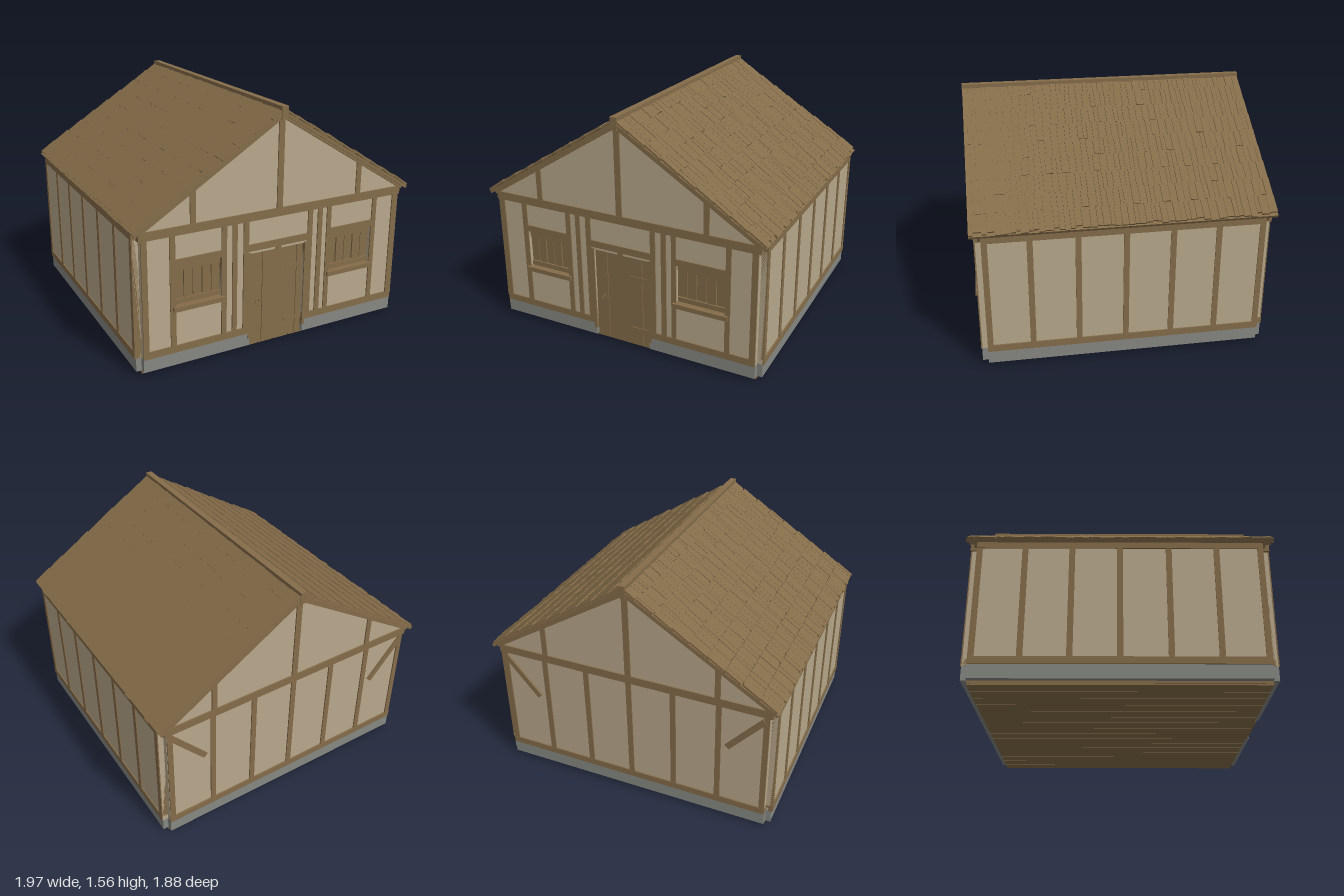
import * as THREE from 'three';
import { mergeGeometries } from 'three/addons/utils/BufferGeometryUtils.js';

const mat = (name, color) => {
  const m = new THREE.MeshStandardMaterial({ color });
  m.name = name;
  return m;
};

// Box geometry from its limits (in any order)
function box(x0, x1, y0, y1, z0, z1) {
  const g = new THREE.BoxGeometry(Math.abs(x1 - x0), Math.abs(y1 - y0), Math.abs(z1 - z0));
  return g.translate((x0 + x1) / 2, (y0 + y1) / 2, (z0 + z1) / 2);
}

export function createModel() {
  const house = new THREE.Group();
  house.name = 'house';
  const wood = mat('timber brown', 0x846c49);
  const plaster = mat('plaster beige', 0xb8a88c);
  const stone = mat('foundation grey', 0x868882);

  const add = (name, material, geos, parent = house) => {
    const mesh = new THREE.Mesh(Array.isArray(geos) ? mergeGeometries(geos) : geos, material);
    mesh.name = name;
    parent.add(mesh);
    return mesh;
  };
  let seed = 7;
  const rnd = () => (seed = (seed * 16807) % 2147483647) / 2147483647;

  const W = 0.92, D = 0.87;            // inner half sizes; walls stand outside, corners notched
  const SLOPE = 0.62, ANGLE = Math.atan(SLOPE), APEX = 1.545;
  const FACE = 0.912, PL = 0.904;      // timber and plaster faces of the gable walls

  // Floor planks
  const planks = [];
  const n = 16, pw = (2 * W) / n;
  for (let i = 0; i < n; i++) {
    const x = -W + i * pw;
    planks.push(box(x + 0.003, x + pw - 0.003, 0, 0.028, -D, D));
  }
  planks.push(box(-W, W, 0.008, 0.03, -D, D));
  add('floorPlanks', wood, planks);

  // Foundation, open at the doorway
  add('foundation', stone, [
    box(W - 0.04, 0.955, 0.025, 0.115, -D, D),
    box(-W + 0.04, -0.955, 0.025, 0.115, -D, D),
    box(-W, W, 0.025, 0.115, -D + 0.04, -0.907),
    box(-W, -0.2, 0.025, 0.115, D - 0.04, 0.907),
    box(0.2, W, 0.025, 0.115, D - 0.04, 0.907),
  ]);

  // Gable walls: plaster outlines with openings
  const top = 1.5;
  const outline = (points) => new THREE.Shape(points.map(([x, y]) => new THREE.Vector2(x, y)));
  const gable = [[W, 0.115], [W, top - SLOPE * W], [0, top], [-W, top - SLOPE * W], [-W, 0.115]];
  const frontShape = outline([...gable, [-0.195, 0.115], [-0.195, 0.652], [0.195, 0.652], [0.195, 0.115]]);
  for (const s of [-1, 1]) {
    const a = s < 0 ? -0.706 : 0.39, b = s < 0 ? -0.4 : 0.717;
    frontShape.holes.push(outline([[a, 0.41], [a, 0.68], [b, 0.68], [b, 0.41]]));
  }
  const extrude = (shape) => new THREE.ExtrudeGeometry(shape, { depth: PL - D, bevelEnabled: false });
  add('frontWall', plaster, extrude(frontShape).translate(0, 0, D));
  add('backWall', plaster, extrude(outline(gable)).translate(0, 0, -PL));

  // Side walls with seven posts each
  for (const s of [-1, 1]) {
    add('sideWall', plaster, box(s * W, s * 0.955, 0.115, 0.915, -D, D));
    const t = [
      box(s * W, s * 0.963, 0.112, 0.157, -D, D),
      box(s * W, s * 0.963, 0.87, 0.915, -D, D),
    ];
    for (const z of [-0.852, -0.575, -0.29, 0, 0.295, 0.585, 0.852]) {
      t.push(box(s * W, s * 0.962, 0.15, 0.88, z - 0.018, z + 0.018));
    }
    add('sideTimbers', wood, t);
  }

  // Gable timbers shared by front and back
  for (const s of [-1, 1]) {
    const z0 = s * D, z1 = s * FACE;
    const t = [box(-0.935, 0.935, 0.868, 0.922, z0, z1 + s * 0.001), box(-0.02, 0.02, 0.92, 1.5, z0, z1)];
    for (const x of [-0.59, 0.59]) t.push(box(x - 0.018, x + 0.018, 0.92, 1.145, z0, z1));
    add('gableTimbers', wood, t);
  }

  // Front frame: posts, sills and headers
  const front = [];
  const beam = (x0, x1, y0, y1, z = FACE) => front.push(box(x0, x1, y0, y1, D, z));
  for (const [x0, x1] of [[-0.92, -0.883], [-0.742, -0.706], [-0.4, -0.366], [-0.326, -0.294],
    [0.288, 0.322], [0.358, 0.39], [0.717, 0.75], [0.88, 0.918]]) beam(x0, x1, 0.15, 0.88);
  beam(-0.25, -0.214, 0.115, 0.88);
  beam(0.214, 0.248, 0.115, 0.88);
  beam(-0.214, -0.195, 0.075, 0.66);
  beam(0.195, 0.214, 0.075, 0.66);
  beam(-W, -0.195, 0.112, 0.157, FACE + 0.001);
  beam(0.195, W, 0.112, 0.157, FACE + 0.001);
  beam(-0.214, 0.214, 0.67, 0.715);
  beam(-0.018, 0.018, 0.652, 0.67);
  add('frontTimbers', wood, front);

  // Shuttered windows
  for (const s of [-1, 1]) {
    const a = s < 0 ? -0.706 : 0.39, b = s < 0 ? -0.4 : 0.717;
    const g = new THREE.Group();
    g.name = 'window';
    house.add(g);
    add('windowFrame', wood, [
      box(a, b, 0.675, 0.718, D, FACE),
      box(a - 0.02, b + 0.02, 0.387, 0.417, D, 0.928),
    ], g);
    const boards = [box(a, b, 0.41, 0.68, D, 0.876)];
    const w = (b - a) / 5;
    for (let i = 0; i < 5; i++) {
      boards.push(box(a + i * w + 0.003, a + (i + 1) * w - 0.003, 0.418, 0.675, D, 0.885 + (i % 2) * 0.003));
    }
    for (const y of [0.44, 0.655]) boards.push(box(a + 0.006, b - 0.006, y - 0.016, y + 0.016, D, 0.897));
    add('shutterBoards', wood, boards, g);
  }

  // Door with hinges and a ring handle
  const door = new THREE.Group();
  door.name = 'door';
  house.add(door);
  const doorBoards = [box(-0.195, 0.195, 0.02, 0.65, D - 0.02, 0.885)];
  for (const [x0, x1] of [[-0.193, -0.108], [-0.104, 0.144], [0.148, 0.19]]) {
    doorBoards.push(box(x0, x1, 0.022, 0.65, D, 0.895));
  }
  add('doorBoards', wood, doorBoards, door);
  add('hinges', wood, [0.14, 0.51].map((y) => box(0.06, 0.19, y - 0.01, y + 0.01, 0.89, 0.9)), door);
  const ring = new THREE.TorusGeometry(0.014, 0.004, 6, 16).translate(-0.14, 0.32, 0.9);
  add('handle', wood, ring, door);

  // Back frame with corner braces
  const back = [box(-W, W, 0.112, 0.157, -D, -FACE - 0.001)];
  for (let i = -3; i <= 3; i++) {
    const x = i * 0.3;
    back.push(box(x - 0.018, x + 0.018, 0.15, 0.88, -D, -FACE));
  }
  add('backTimbers', wood, back);
  for (const s of [-1, 1]) {
    const brace = add('cornerBrace', wood, new THREE.BoxGeometry(0.036, 0.35, 0.03));
    brace.position.set(s * 0.775, 0.71, -0.903);
    brace.rotation.z = -s * 0.72;
  }

  // Roof slopes: sheathing, rafters and uneven shingle rows, laid out along the slope
  const L = 0.985 / Math.cos(ANGLE), ROWS = 9, step = L / ROWS, R = 0.938;
  for (const s of [-1, 1]) {
    const roof = new THREE.Group();
    roof.name = 'roofSlope';
    roof.position.y = APEX;
    roof.rotation.z = -s * ANGLE;
    house.add(roof);
    add('sheathing', wood, box(0, s * (L - 0.005), -0.033, -0.013, -R, R), roof);

    const rafters = [];
    for (let i = -4; i <= 4; i++) {
      const z = i * 0.2165;
      rafters.push(box(s * 0.03, s * (L - 0.008), -0.068, -0.03, z - 0.021, z + 0.021));
    }
    for (const e of [-1, 1]) rafters.push(box(0, s * (L - 0.03), -0.05, -0.03, e * 0.87, e * 0.925));
    add('rafters', wood, rafters, roof);

    const shingles = [];
    for (let r = 0; r < ROWS; r++) {
      for (let z = -R; z < R - 0.001;) {
        let z1 = z + 0.024 + rnd() * 0.03;
        if (z1 > R - 0.02) z1 = R;
        const end = (r + 1) * step - rnd() * 0.03;
        const len = end - r * step + (r ? 0.02 : 0);
        const g = box(-len, 0, -0.013, rnd() * 0.004 - 0.002, z + 0.001, z1 - 0.001);
        g.rotateZ(-0.05);
        if (s < 0) g.rotateY(Math.PI);
        shingles.push(g.translate(s * end, 0, 0));
        z = z1;
      }
    }
    add('shingles', wood, shingles, roof);
  }
  add('ridgeBeam', wood, box(-0.022, 0.022, 1.48, 1.56, -0.94, 0.94));

  return house;
}
